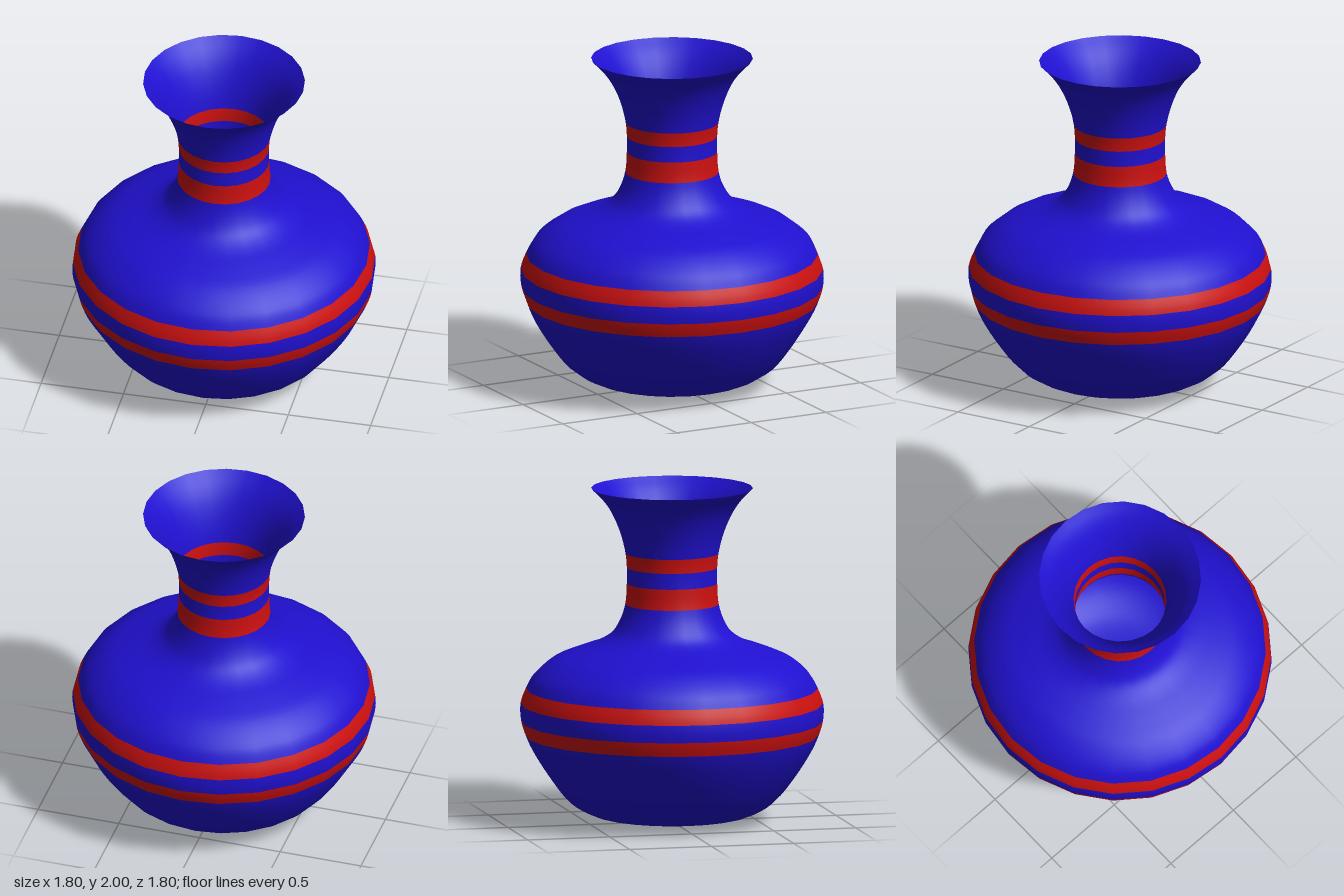
import * as THREE from 'three';

// Outer profile, foot to rim: [radius, height]
const PROFILE = [
  [0, 0], [0.2, 0.018], [0.39, 0.03], [0.49, 0.055], [0.615, 0.13], [0.73, 0.27], [0.83, 0.43],
  [0.87, 0.52], [0.895, 0.605], [0.897, 0.71], [0.865, 0.8],
  [0.82, 0.88], [0.705, 0.975], [0.575, 1.03], [0.44, 1.078], [0.36, 1.13], [0.31, 1.205],
  [0.277, 1.305], [0.268, 1.43], [0.268, 1.525], [0.276, 1.61],
  [0.308, 1.735], [0.358, 1.85], [0.412, 1.93], [0.48, 2],
];

// Bands between profile knots: name, first knot, last knot, painted red
const BANDS = [
  ['lowerBody', 0, 7, false],
  ['lowerBellyStripe', 7, 8, true],
  ['bellyGap', 8, 9, false],
  ['upperBellyStripe', 9, 10, true],
  ['shoulder', 10, 17, false],
  ['lowerNeckStripe', 17, 18, true],
  ['neckGap', 18, 19, false],
  ['upperNeckStripe', 19, 20, true],
  ['flaredMouth', 20, 24, false],
];

const SIDES = 24;
const STEPS = 4; // samples between neighbouring knots

export function createModel() {
  const vase = new THREE.Group();
  vase.name = 'vase';

  // Thin open shell, so the inside shows as well
  const paint = (color) => new THREE.MeshStandardMaterial({ color, side: THREE.DoubleSide });
  const blue = paint(0x2010d0);
  const red = paint(0xcc1010);

  const curve = new THREE.CatmullRomCurve3(PROFILE.map(([r, y]) => new THREE.Vector3(r, y, 0)));

  for (const [name, first, last, isRed] of BANDS) {
    const points = [];
    for (let i = first * STEPS; i <= last * STEPS; i++) {
      const p = curve.getPoint(i / ((PROFILE.length - 1) * STEPS));
      points.push(new THREE.Vector2(Math.max(p.x, 0), Math.max(p.y, 0)));
    }
    const band = new THREE.Mesh(new THREE.LatheGeometry(points, SIDES), isRed ? red : blue);
    band.name = name;
    vase.add(band);
  }
  return vase;
}
